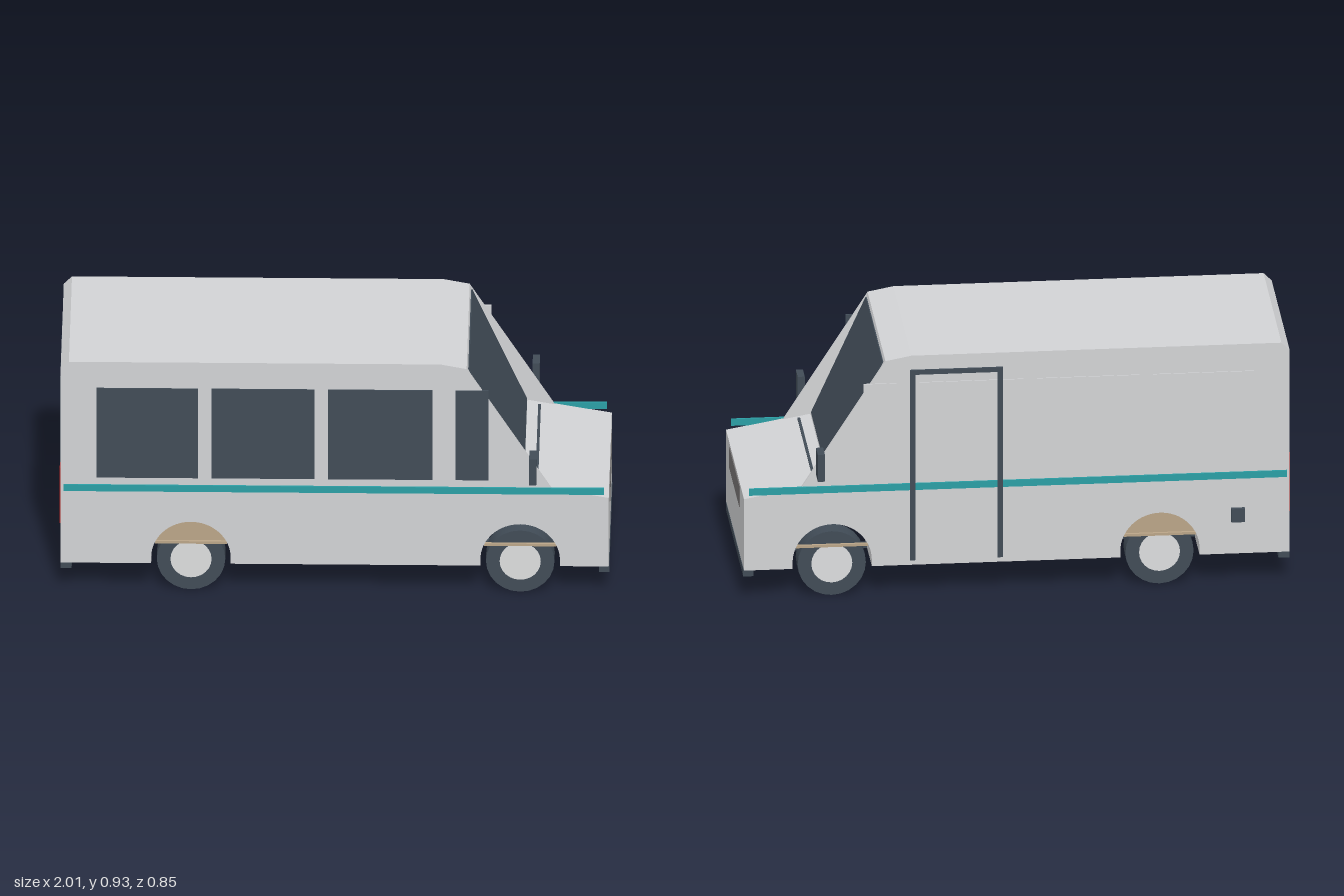
import * as THREE from 'three';

const mat = (name, color, extra = {}) => {
  const m = new THREE.MeshStandardMaterial({ color, ...extra });
  m.name = name;
  return m;
};

export function createModel() {
  const van = new THREE.Group();
  van.name = 'van';
  const paint = mat('bodyPaint', 0xd2d3d5);
  const hubGrey = mat('hubGrey', 0xdcddde);
  const dark = mat('darkGlassAndRubber', 0x414c57);
  const teal = mat('tealStripe', 0x2b9fa5);
  const grey = mat('midGrey', 0x777575);
  const tan = mat('tanLiner', 0xbaa588);
  const tanThin = mat('tanLinerPlate', 0xbaa588, { side: THREE.DoubleSide });
  const red = mat('tailRed', 0xa82222);

  const add = (name, geo, m, x = 0, y = 0, z = 0, parent = van) => {
    const mesh = new THREE.Mesh(geo, m);
    mesh.name = name;
    mesh.position.set(x, y, z);
    parent.add(mesh);
    return mesh;
  };
  // Box given by its limits along each axis
  const box = (name, m, x0, x1, y0, y1, z0, z1) =>
    add(name, new THREE.BoxGeometry(x1 - x0, y1 - y0, z1 - z0), m,
      (x0 + x1) / 2, (y0 + y1) / 2, (z0 + z1) / 2);

  const H = 0.345;
  const axles = [-0.525, 0.675];

  // Body shell: side profile with wheel arches, extruded across the width
  const s = new THREE.Shape();
  s.moveTo(-1, 0.115);
  for (const x of axles) {
    s.lineTo(x - 0.145, 0.115);
    s.lineTo(x - 0.145, 0.14);
    s.absarc(x, 0.14, 0.145, Math.PI, 0, true);
    s.lineTo(x + 0.145, 0.115);
  }
  for (const [x, y] of [[0.998, 0.115], [0.998, 0.395], [0.69, 0.45], [0.48, 0.917],
    [0.385, 0.935], [-0.97, 0.935], [-1, 0.905]]) s.lineTo(x, y);
  s.closePath();
  add('body', new THREE.ExtrudeGeometry(s, { depth: 2 * H, bevelEnabled: false, curveSegments: 16 }),
    paint, 0, 0, -H);

  // Side cheeks beside the windscreen
  const cheek = new THREE.Shape([[0.48, 0.917], [0.69, 0.44], [0.79, 0.43]]
    .map(([x, y]) => new THREE.Vector2(x, y)));
  const cheekGeo = new THREE.ExtrudeGeometry(cheek, { depth: 0.01, bevelEnabled: false });
  add('windscreenCheek', cheekGeo, paint, 0, 0, H - 0.01);
  add('windscreenCheek', cheekGeo, paint, 0, 0, -H);

  // Windscreen and wiper bar
  const screen = add('windscreen', new THREE.BoxGeometry(0.008, 0.488, 0.64), dark, 0.586, 0.683, 0);
  screen.rotation.z = 0.423;
  box('wiperBar', dark, 0.73, 0.74, 0.438, 0.446, -0.31, 0.31);

  // Side windows on one side, blank panels on the other
  for (const [x0, x1] of [[-0.87, -0.5], [-0.45, -0.075], [-0.025, 0.355], [0.44, 0.56]]) {
    box('sideWindow', dark, x0, x1, 0.465, 0.83, H - 0.003, H + 0.004);
    box('blankPanel', paint, x0, x1, 0.465, 0.83, -H - 0.004, -H + 0.003);
  }

  // Sliding door frame
  for (const x of [0.06, 0.38])
    box('doorPost', dark, x - 0.01, x + 0.01, 0.135, 0.88, -H - 0.007, -H + 0.002);
  box('doorRail', dark, 0.05, 0.39, 0.862, 0.88, -H - 0.007, -H + 0.002);

  // Stripes and mirrors on both sides
  for (const k of [1, -1]) {
    const at = (z) => z * k;
    add('sideStripe', new THREE.BoxGeometry(1.97, 0.026, 0.008), teal, -0.005, 0.423, at(H + 0.002));
    add('mirror', new THREE.BoxGeometry(0.026, 0.105, 0.073), dark, 0.722, 0.537, at(0.388));
    add('tailLight', new THREE.BoxGeometry(0.008, 0.225, 0.05), red, -1, 0.378, at(0.3));
  }

  // Front, rear and underside fittings
  box('grille', grey, 0.994, 1.001, 0.305, 0.387, -0.195, 0.195);
  box('rearWindow', dark, -1.003, -0.996, 0.465, 0.83, -0.26, 0.26);
  box('frontBumper', dark, 0.962, 1.0, 0.088, 0.116, -0.335, 0.335);
  box('rearBumper', dark, -1.0, -0.96, 0.088, 0.116, -0.335, 0.335);
  box('fuelCap', dark, -0.835, -0.785, 0.243, 0.295, -0.362, -H);
  box('underfloorBox', grey, -0.235, 0.01, 0.027, 0.106, -0.125, 0.125);

  // Running gear for each axle
  const tyreGeo = new THREE.CylinderGeometry(0.125, 0.125, 0.078, 24).rotateX(Math.PI / 2);
  const hubGeo = new THREE.CylinderGeometry(0.075, 0.075, 0.083, 24).rotateX(Math.PI / 2);
  const axleGeo = new THREE.CylinderGeometry(0.018, 0.018, 0.52, 12).rotateX(Math.PI / 2);
  const linerGeo = new THREE.PlaneGeometry(0.26, 0.64).rotateX(Math.PI / 2);
  axles.forEach((x, i) => {
    add('axle', axleGeo, dark, x, 0.128, 0);
    add('wellLiner', linerGeo, tan, x, 0.198, 0);
    for (const k of [1, -1]) {
      add('tyre', tyreGeo, dark, x, 0.126, k * 0.289);
      add('hub', hubGeo, hubGrey, x, 0.126, k * 0.289);
      add('spring', new THREE.BoxGeometry(0.28, 0.013, 0.03), dark, x, 0.142, k * 0.2);
      add('linerLip', new THREE.BoxGeometry(0.264, 0.01, 0.01), tan, x, 0.199, k * 0.337);
      // Closed upper well on the rear axle only
      if (i === 0) {
        const a = Math.asin(0.055 / 0.145);
        const cap = new THREE.Shape();
        cap.absarc(0, 0, 0.145, a, Math.PI - a, false);
        cap.closePath();
        add('wellCap', new THREE.ShapeGeometry(cap, 16), tanThin, x, 0.14, k * 0.332);
      }
    }
  });
  return van;
}
